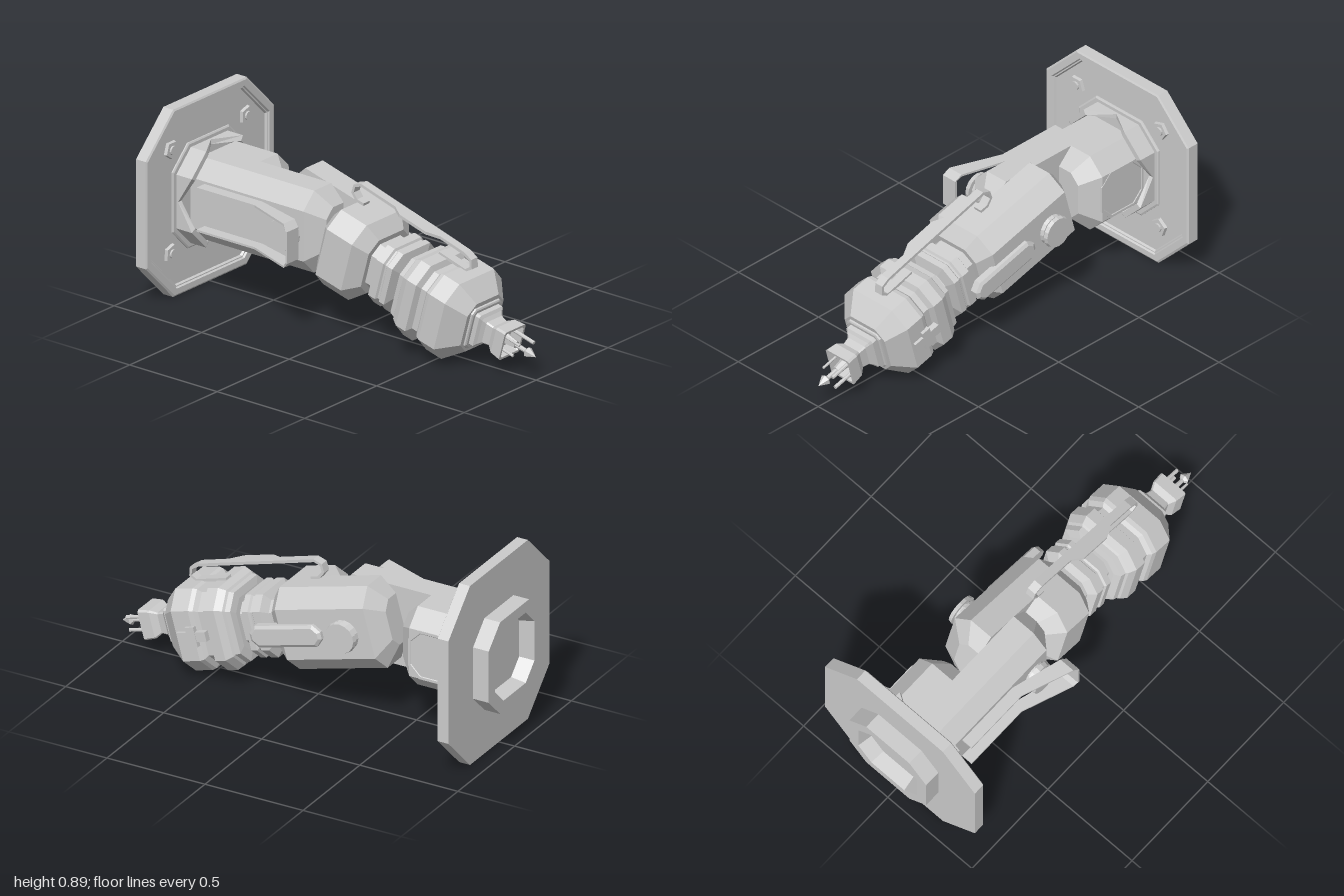
import * as THREE from 'three';

const mat = new THREE.MeshStandardMaterial({ color: 0xcccccc, flatShading: true });

// Skin rings of [x, y, z] corners (counter-clockwise seen from the far end) and cap both ends
function loft(rings) {
  const pos = [];
  const tri = (a, b, c) => pos.push(...a, ...b, ...c);
  const n = rings[0].length;
  for (let i = 0; i < rings.length - 1; i++) {
    for (let j = 0; j < n; j++) {
      const k = (j + 1) % n;
      const [a, b, c, d] = [rings[i][j], rings[i][k], rings[i + 1][k], rings[i + 1][j]];
      tri(a, b, c);
      tri(a, c, d);
    }
  }
  const first = rings[0], last = rings[rings.length - 1];
  for (let j = 1; j < n - 1; j++) {
    tri(first[0], first[j + 1], first[j]);
    tri(last[0], last[j], last[j + 1]);
  }
  const geo = new THREE.BufferGeometry();
  geo.setAttribute('position', new THREE.Float32BufferAttribute(pos, 3));
  geo.computeVertexNormals();
  return geo;
}

// Chamfered rectangle at depth z; side +1 / -1 keeps only that half of x
function section(z, hx, hy, c, side = 0) {
  const q = [[hx - c, -hy], [hx, -hy + c], [hx, hy - c], [hx - c, hy]];
  return [...q, ...q.map(([x, y]) => [-x, -y])].map(([x, y]) => [
    side > 0 ? Math.max(0, x) : side < 0 ? Math.min(0, x) : x, y, z]);
}
// Octagonal body from a [z, half size] profile
const body = (profile, ratio = 0.39, side = 0) =>
  loft(profile.map(([z, h]) => section(z, h, h, h * ratio, side)));

// Flat strap following [z, y, xMin, xMax] points
function strap(pts, t) {
  return loft(pts.map(([z, y, x0, x1], i) => {
    const a = pts[Math.max(0, i - 1)], b = pts[Math.min(pts.length - 1, i + 1)];
    const len = Math.hypot(b[0] - a[0], b[1] - a[1]);
    const ny = (b[0] - a[0]) / len * t / 2, nz = -(b[1] - a[1]) / len * t / 2;
    return [[x1, y - ny, z - nz], [x1, y + ny, z + nz], [x0, y + ny, z + nz], [x0, y - ny, z - nz]];
  }));
}

function add(parent, name, geo, x = 0, y = 0, z = 0) {
  const mesh = new THREE.Mesh(geo, mat);
  mesh.name = name;
  mesh.position.set(x, y, z);
  parent.add(mesh);
  return mesh;
}

export function createModel() {
  const root = new THREE.Group();
  root.name = 'roboticArm';
  const cy = 0.445;

  // Wall plate with a shallow recessed front
  add(root, 'wallPlate', body([[-0.92, 0.445], [-0.865, 0.445], [-0.86, 0.437], [-0.86, 0.41],
    [-0.868, 0.405], [-0.868, 0.4], [-0.878, 0.395]], 0.427), 0, cy);
  add(root, 'collarFlange', body([[-0.89, 0.25], [-0.872, 0.25], [-0.868, 0.243]], 0.43), 0, cy);

  // Collar: hollow at both ends, with a V notch in the middle of each front side
  const collar = [[-0.93, 0.16], [-1, 0.175], [-1, 0.228], [-0.78, 0.228], [-0.78, 0.205], [-0.875, 0.2]];
  add(root, 'collar', loft(collar.map(([z, h]) => {
    const ring = section(z, h, h, h * 0.44);
    return ring.flatMap((p, i) => {
      if (i % 2 === 0) return [p];
      const q = ring[(i + 1) % 8];
      return [p, [(p[0] + q[0]) / 2, (p[1] + q[1]) / 2, z === -0.78 ? -0.858 : z]];
    });
  })), 0, cy);

  // Pentagonal plate bolts
  for (const [x, y, turn] of [[-0.26, 0.7, 0], [0.262, 0.705, 0.3], [-0.26, 0.208, 0.3], [0.255, 0.19, 0.6]]) {
    const bolt = new THREE.Group();
    bolt.name = 'plateBolt';
    bolt.position.set(x, y, -0.872);
    bolt.rotation.set(Math.PI / 2, turn, 0);
    add(bolt, 'boltBase', new THREE.CylinderGeometry(0.042, 0.046, 0.018, 5));
    add(bolt, 'boltHead', new THREE.CylinderGeometry(0.021, 0.021, 0.02, 12), 0, 0.008);
    root.add(bolt);
  }

  // Upper arm: short right half, long left half forming the elbow fork
  add(root, 'upperArmRight', body([[-0.815, 0.195], [-0.575, 0.195], [-0.5, 0.12]], 0.39, 1), 0, cy);
  add(root, 'upperArmLeft', body([[-0.815, 0.195], [-0.17, 0.195], [-0.1, 0.12]], 0.39, -1), 0, cy);
  const panel = loft([section(0.18, 0.13, 0.12, 0.055), section(0.198, 0.13, 0.12, 0.055),
    section(0.198, 0.118, 0.108, 0.05), section(0.194, 0.114, 0.104, 0.048)]);
  add(root, 'shoulderPanel', panel.rotateY(Math.PI / 2), 0, cy, -0.7);

  // Elbow pins on both sides: stem, disc, groove and outer cap
  for (const s of [-1, 1]) {
    const pin = new THREE.Group();
    pin.name = s > 0 ? 'elbowPinLeft' : 'elbowPinRight';
    pin.position.set(0, 0.45, -0.25);
    pin.rotation.z = -s * Math.PI / 2;
    const k = s > 0 ? 1 : 1.25;
    for (const [r, x0, x1] of [[0.058, 0.18, 0.245], [0.072, 0.205, 0.222], [0.076, 0.232, 0.25]]) {
      const w = (x1 - x0) * k;
      add(pin, 'pinDisc', new THREE.CylinderGeometry(r * 0.94, r, w, 16), 0, 0.195 + (x0 - 0.195) * k + w / 2);
    }
    root.add(pin);
  }

  // Guard strap round the elbow, bending outwards
  const rail = [[-0.73, 0.1, -0.255, -0.2], [-0.4, 0.1, -0.255, -0.2],
    [-0.16, 0.1, -0.345, -0.268], [-0.135, 0.075, -0.355, -0.278]];
  const back = rail.map(([z, y, a, b]) => [z, -y, a, b]).reverse();
  add(root, 'elbowGuard', strap([...rail, ...back], 0.01), 0, 0.45);

  // Top handle strap, wider on one side in the middle
  const handle = [[0.02, 0.587], [-0.02, 0.598], [-0.043, 0.63], [-0.032, 0.664], [0.005, 0.676],
    [0.2, 0.618], [0.25, 0.603, -0.04], [0.4, 0.559, -0.04], [0.46, 0.541], [0.595, 0.5],
    [0.63, 0.477], [0.633, 0.44], [0.6, 0.422], [0.45, 0.467]];
  add(root, 'handleStrap', strap(handle.map(([z, y, x0 = -0.008]) => [z, y, x0, 0.035]), 0.014));

  // Forearm, drooping from the elbow; local z runs along it
  const arm = new THREE.Group();
  arm.name = 'forearm';
  arm.position.set(0, 0.45, -0.25);
  arm.rotation.x = 0.267;
  root.add(arm);
  const front = [[0.34, 0.197], [0.4, 0.14]];
  add(arm, 'forearmLeft', body([[-0.18, 0.11], [-0.125, 0.197], ...front], 0.39, 1));
  add(arm, 'forearmRight', body([[0.13, 0.12], [0.19, 0.197], ...front], 0.39, -1));
  add(arm, 'wristNeck', body([[0.38, 0.115], [0.435, 0.115], [0.455, 0.152], [0.495, 0.152], [0.502, 0.143],
    [0.512, 0.143], [0.519, 0.152], [0.548, 0.152], [0.565, 0.105], [0.62, 0.105]]));

  // Head with a groove round its middle
  add(arm, 'head', body([[0.595, 0.13], [0.6, 0.165], [0.625, 0.17], [0.632, 0.18], [0.665, 0.197], [0.72, 0.197],
    [0.735, 0.172], [0.765, 0.172], [0.78, 0.19], [0.8, 0.197], [0.89, 0.197], [0.975, 0.125]]));
  add(arm, 'headFacePlate', body([[0.96, 0.105], [0.983, 0.102], [0.987, 0.095]], 0.2));

  // Side bar and cross-shaped clip
  const bar = loft([section(0.18, 0.187, 0.052, 0.035), section(0.213, 0.187, 0.052, 0.035),
    section(0.223, 0.172, 0.038, 0.025)]);
  add(arm, 'sideBar', bar.rotateY(Math.PI / 2), 0, 0, 0.305);
  add(arm, 'sideClip', new THREE.BoxGeometry(0.03, 0.045, 0.15), 0.196, 0, 0.805);
  add(arm, 'sideClip', new THREE.BoxGeometry(0.034, 0.095, 0.045), 0.196, 0, 0.805);

  // Tool holder with an open flared mouth
  add(arm, 'toolHolder', body([[0.97, 0.083], [1.01, 0.083], [1.02, 0.07], [1.035, 0.056], [1.07, 0.05],
    [1.1, 0.068], [1.155, 0.073], [1.155, 0.062], [1.1, 0.055]], 0.12));

  // Spike and prongs
  const rod = (name, r0, r1, z0, z1, x, y, n) =>
    add(arm, name, new THREE.CylinderGeometry(r1, r0, z1 - z0, n).rotateX(Math.PI / 2), x, y, (z0 + z1) / 2);
  rod('spikeRod', 0.013, 0.01, 1.08, 1.25, 0, 0, 8);
  rod('spikeSleeve', 0.03, 0.018, 1.09, 1.18, 0, 0, 6);
  rod('spikeCollar', 0.012, 0.026, 1.235, 1.247, 0, 0, 6);
  rod('spikeTip', 0.026, 0, 1.247, 1.295, 0, 0, 6);
  for (const [x, y, r, end] of [[0.042, 0.03, 0.009, 1.24], [0.042, -0.032, 0.009, 1.24],
    [-0.035, -0.035, 0.007, 1.2], [-0.035, 0.03, 0.006, 1.22]]) {
    rod('prong', r, r, 1.08, end, x, y, 8);
  }
  return root;
}
